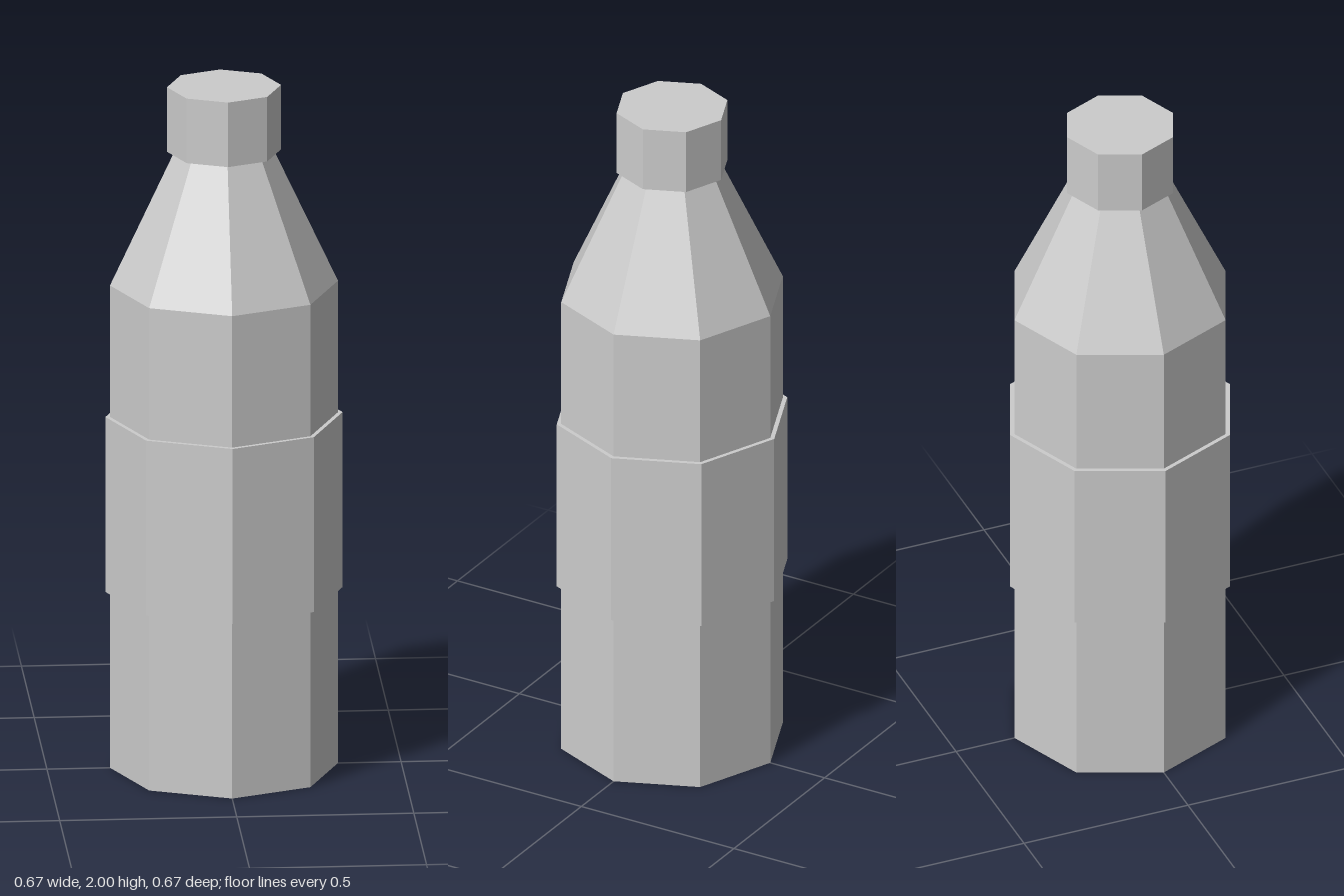
import * as THREE from 'three';

const SIDES = 8;

export function createModel() {
  const group = new THREE.Group();
  group.name = 'bottle';
  const grey = new THREE.MeshStandardMaterial({ color: 0xcccccc });
  grey.name = 'light grey';
  grey.flatShading = true;

  // One octagonal section from y0 to y1, with corners on the x and z axes
  function section(name, rBottom, rTop, y0, y1, open = false) {
    const geometry = new THREE.CylinderGeometry(rTop, rBottom, y1 - y0, SIDES, 1, open);
    const mesh = new THREE.Mesh(geometry, grey);
    mesh.name = name;
    mesh.position.y = (y0 + y1) / 2;
    group.add(mesh);
  }

  section('body', 0.322, 0.322, 0, 1.42);
  section('labelBand', 0.335, 0.335, 0.518, 1.033); // slightly proud of the body
  section('shoulder', 0.322, 0.14, 1.42, 1.81, true);
  section('cap', 0.161, 0.161, 1.81, 2);

  return group;
}
